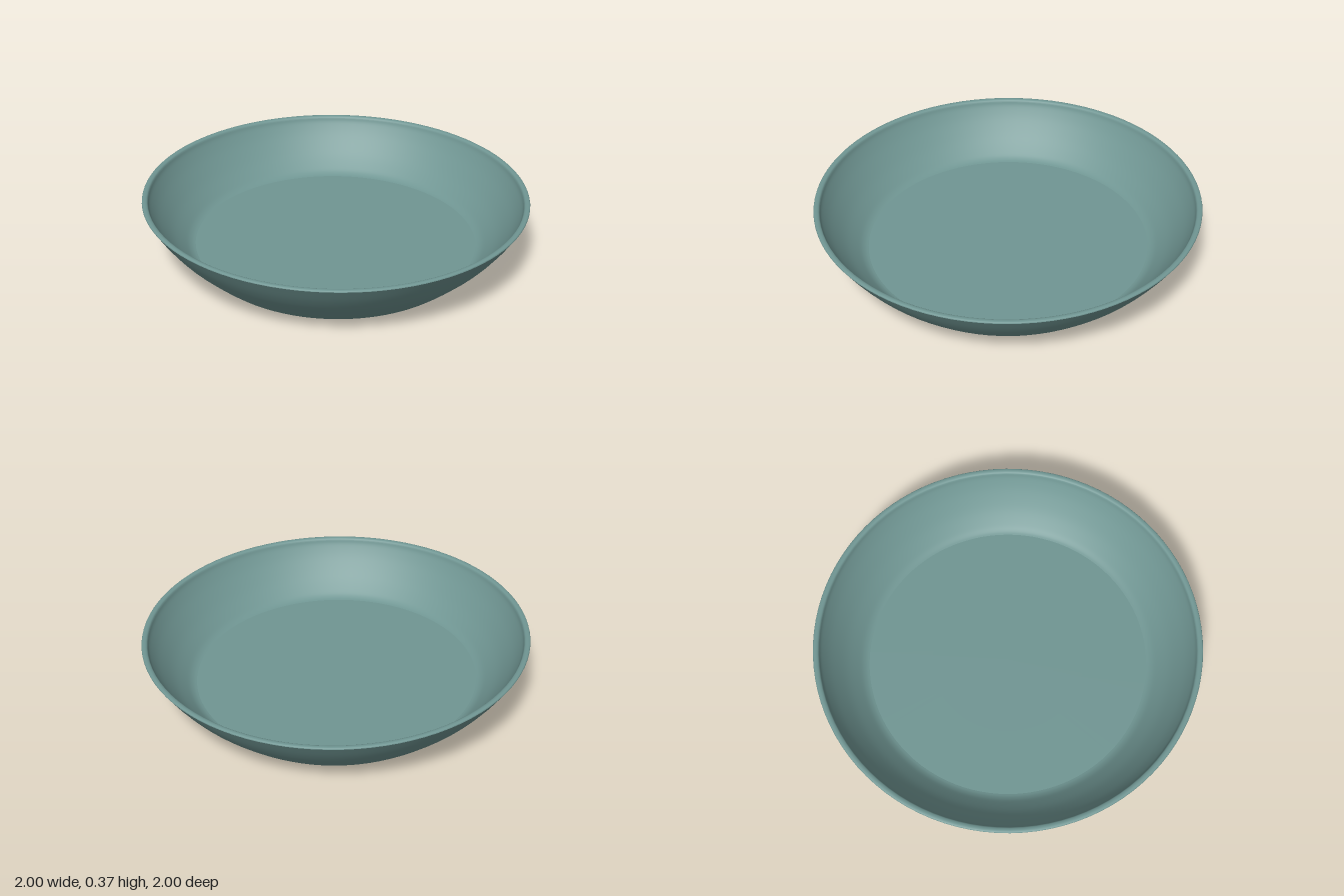
import * as THREE from 'three';

export function createModel() {
  const glaze = new THREE.MeshStandardMaterial({ color: 0x709693 });
  glaze.name = 'greenGlaze';

  const v = (x, y) => new THREE.Vector2(x, y);
  const curve = (pts, n) => new THREE.SplineCurve(pts.map(p => v(...p))).getPoints(n);

  const turn = (name, points) => {
    const mesh = new THREE.Mesh(new THREE.LatheGeometry(points, 96), glaze);
    mesh.name = name;
    return mesh;
  };

  // Slightly recessed underside, running into the rounded foot and flared wall
  const outside = turn('outerWall', [
    v(0, 0.013), v(0.6, 0.013), v(0.625, 0.012),
    ...curve([[0.645, 0.004], [0.67, 0], [0.7, 0.007], [0.735, 0.034], [0.79, 0.083],
      [0.87, 0.162], [0.94, 0.25], [0.998, 0.337]], 32),
  ]);

  // Softly rounded lip
  const lip = turn('lip', curve([[0.998, 0.337], [0.995, 0.343], [0.983, 0.345],
    [0.971, 0.341], [0.966, 0.332]], 12));

  // Inner wall falling to the floor
  const inside = turn('innerWall', curve([[0.966, 0.332], [0.955, 0.305], [0.915, 0.241],
    [0.85, 0.16], [0.785, 0.098], [0.755, 0.077], [0.735, 0.07]], 24));

  const floor = turn('floor', [v(0.735, 0.07), v(0.4, 0.07), v(0, 0.07)]);

  // Raised bead under the base
  const bead = new THREE.Mesh(new THREE.TorusGeometry(0.19, 0.018, 12, 64), glaze);
  bead.name = 'baseRing';
  bead.rotation.x = Math.PI / 2;
  bead.scale.z = 0.75;
  bead.position.y = 0.013;

  // The dish leans very slightly
  const dish = new THREE.Group();
  dish.name = 'dish';
  dish.add(outside, lip, inside, floor, bead);
  dish.rotation.set(0.01, 0, -0.008);
  dish.position.y = 0.009;

  const model = new THREE.Group();
  model.name = 'shallowDish';
  model.add(dish);
  return model;
}
